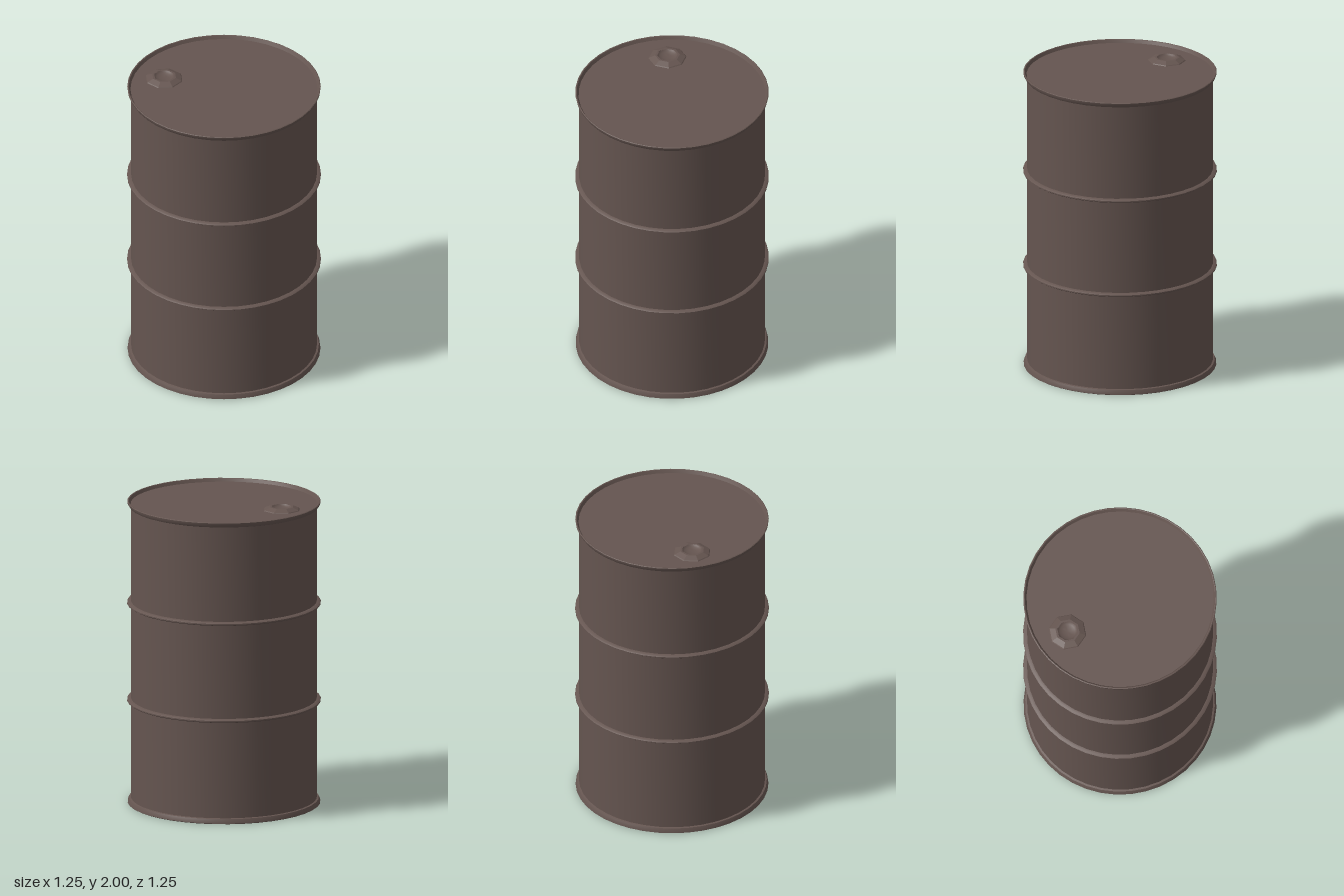
import * as THREE from 'three';
import { toCreasedNormals } from 'three/addons/utils/BufferGeometryUtils.js';

const brown = new THREE.MeshStandardMaterial({ color: 0x655550 });
brown.name = 'drum brown';

const SIDES = 40;
const RADIUS = 0.6;
const LID_Y = 1.978;

// Revolve [radius, height] pairs, keeping sharp profile edges crisp
function turned(name, profile, sides = SIDES, crease = 0.5) {
  const points = profile.map(([r, y]) => new THREE.Vector2(r, y));
  const geometry = toCreasedNormals(new THREE.LatheGeometry(points, sides), crease);
  const mesh = new THREE.Mesh(geometry, brown);
  mesh.name = name;
  return mesh;
}

export function createModel() {
  const drum = new THREE.Group();
  drum.name = 'drum';

  // Side wall
  drum.add(turned('wall', [[RADIUS, 0.03], [RADIUS, 1.975]]));

  // Bottom plate with its flared foot rim
  drum.add(turned('bottomRim', [
    [0, 0], [0.615, 0], [0.622, 0.004], [0.62, 0.016], [0.612, 0.033], [RADIUS, 0.036],
  ]));

  // Flared top rim, its inner slope and the slightly sunken lid
  drum.add(turned('topRim', [
    [RADIUS, 1.965], [0.612, 1.969], [0.622, 1.985], [0.624, 1.997], [0.619, 2],
    [0.614, 1.998], [0.603, LID_Y],
  ]));
  drum.add(turned('lid', [[0.604, LID_Y], [0, LID_Y]]));

  // Two rolled hoops around the wall
  for (const [name, y] of [['lowerHoop', 0.682], ['upperHoop', 1.326]]) {
    const hoop = turned(name, [
      [RADIUS, -0.013], [0.616, -0.01], [0.625, -0.004], [0.625, 0.004],
      [0.616, 0.01], [RADIUS, 0.013],
    ], SIDES, 0.8);
    hoop.position.y = y;
    drum.add(hoop);
  }

  // Bung: faceted octagonal collar around a round cup
  const bung = new THREE.Group();
  bung.name = 'bung';
  bung.position.set(-0.406, LID_Y, 0);
  bung.add(turned('bungCollar', [
    [0.123, 0], [0.118, 0.005], [0.08, 0.021], [0.066, 0.021],
  ], 8, 0.2));
  bung.add(turned('bungCup', [
    [0.072, 0.0215], [0.066, 0.0215], [0.062, 0.016], [0.05, 0.008], [0.028, 0.003], [0, 0.001],
  ], 20, 0.8));
  drum.add(bung);

  return drum;
}
